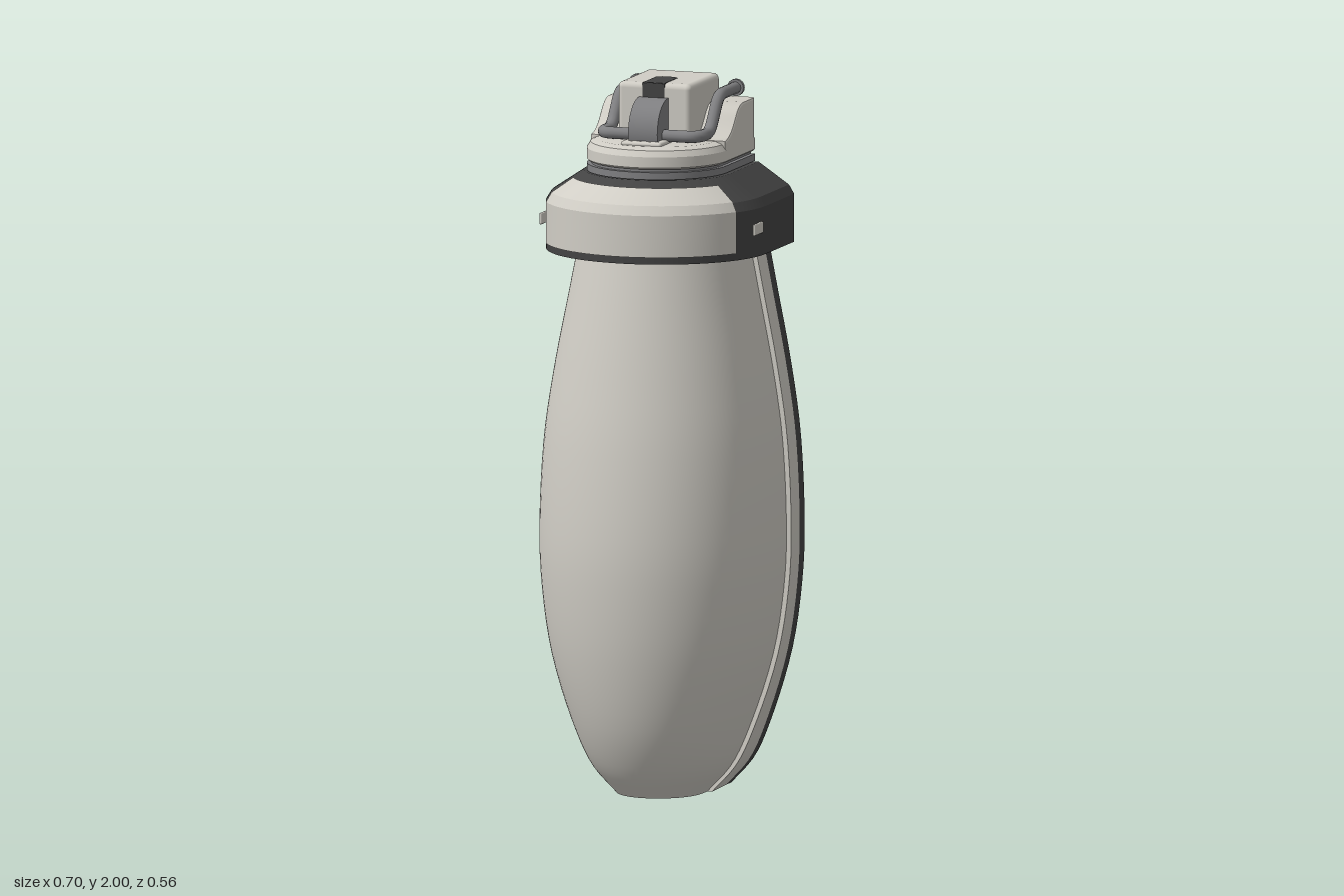
import * as THREE from 'three';
import { toCreasedNormals } from 'three/addons/utils/BufferGeometryUtils.js';
import { RoundedBoxGeometry } from 'three/addons/geometries/RoundedBoxGeometry.js';

const mat = (name, color, side = THREE.FrontSide) => {
  const m = new THREE.MeshStandardMaterial({ color, side });
  m.name = name;
  return m;
};

// Outline in the xz plane: straight sides from the back, then a half ellipse round the front
function uSection(w, zb, zc, zf, n) {
  const pts = [[w, zb]];
  for (let i = 0; i <= n; i++) {
    const a = Math.PI * i / n;
    pts.push([w * Math.cos(a), zc + (zf - zc) * Math.sin(a)]);
  }
  pts.push([-w, zb]);
  return pts;
}

// Skin a stack of outlines; closed ones get a back wall and end caps
function loft(rings, closed = true, crease = 0.6) {
  const pos = [], idx = [], n = rings[0].pts.length;
  for (const r of rings) for (const [x, z] of r.pts) pos.push(x, r.y, z);
  for (let i = 0; i < rings.length - 1; i++) {
    for (let j = 0; j < (closed ? n : n - 1); j++) {
      const a = i * n + j, b = i * n + (j + 1) % n;
      idx.push(a, a + n, b, b, a + n, b + n);
    }
  }
  if (closed) {
    [0, rings.length - 1].forEach((k) => {
      const r = rings[k], c = pos.length / 3;
      pos.push(0, r.y, r.pts.reduce((s, p) => s + p[1], 0) / n);
      for (let j = 0; j < n; j++) {
        const a = k * n + j, b = k * n + (j + 1) % n;
        idx.push(c, k ? b : a, k ? a : b);
      }
    });
  }
  const g = new THREE.BufferGeometry();
  g.setAttribute('position', new THREE.Float32BufferAttribute(pos, 3));
  g.setIndex(idx);
  return toCreasedNormals(g, crease);
}

export function createModel() {
  const group = new THREE.Group();
  const light = mat('warmGrey', 0xd0cdc5);
  const lightSheet = mat('warmGreySheet', 0xd0cdc5, THREE.DoubleSide);
  const dark = mat('charcoal', 0x434343);
  const darkSheet = mat('charcoalSheet', 0x434343, THREE.DoubleSide);
  const metal = mat('midGrey', 0x808082);
  const add = (name, geo, material, x = 0, y = 0, z = 0) => {
    const m = new THREE.Mesh(geo, material);
    m.name = name;
    m.position.set(x, y, z);
    group.add(m);
    return m;
  };

  // Body profile: half width, height, front depth
  const profile = new THREE.CatmullRomCurve3([
    [0.13, 0, 0.075], [0.2, 0.08, 0.14], [0.253, 0.2, 0.2], [0.313, 0.4, 0.252],
    [0.341, 0.6, 0.276], [0.346, 0.75, 0.279], [0.334, 1, 0.259], [0.305, 1.2, 0.228],
    [0.266, 1.4, 0.192], [0.24, 1.53, 0.168], [0.2, 1.7, 0.14],
  ].map((p) => new THREE.Vector3(...p))).getPoints(44);
  const seam = (y) => -0.1 - 0.05 * Math.sin(Math.min(1, y / 0.7) * Math.PI / 2);

  add('frontShell', loft(profile.map((p) => ({
    y: p.y, pts: uSection(p.x - 0.008, seam(p.y) - 0.01, -0.06, p.z, 40),
  }))), light);
  add('rearShell', loft(profile.map((p) => ({
    y: p.y,
    pts: [[p.x, -0.237], [p.x + 0.006, seam(p.y)], [-p.x - 0.006, seam(p.y)], [-p.x, -0.237]],
  }))), light);

  // Flat back plate with clipped upper corners
  const plate = profile.filter((p) => p.y < 1.67);
  add('backPlate', loft([...plate, { x: 0.2, y: 1.67 }, { x: 0.165, y: 1.71 }].map((p) => ({
    y: p.y, pts: uSection(p.x, -0.278, -0.235, -0.235, 1),
  }))), dark);

  // Collar: a bent shell, open at the back
  const collarPath = [[0.28, 1.53], [0.315, 1.53], [0.315, 1.665], [0.3, 1.69],
    [0.21, 1.75], [0.185, 1.75], [0.185, 1.72], [0.28, 1.655], [0.28, 1.53]];
  add('collar', loft(collarPath.map(([w, y]) => ({
    y, pts: uSection(w, -0.278, -0.04, w - 0.055, 28),
  })), false, 0.4), darkSheet);
  for (const s of [1, -1]) {
    const end = new THREE.ShapeGeometry(new THREE.Shape(
      collarPath.map(([w, y]) => new THREE.Vector2(s * w, y))));
    add('collarEnd', end, darkSheet, 0, 0, -0.278);
    add('sideButton', new RoundedBoxGeometry(0.008, 0.032, 0.07, 2, 0.003), light, s * 0.315, 1.61, 0.02);
  }

  // Pale facing on the front of the collar
  const facing = [[0.318, 1.55], [0.318, 1.667], [0.303, 1.693], [0.242, 1.734]].map(([w, y]) => {
    const pts = [];
    for (let i = 0; i <= 24; i++) {
      const a = THREE.MathUtils.degToRad(28 + 124 * i / 24);
      pts.push([w * Math.cos(a), -0.04 + (w - 0.012) * Math.sin(a)]);
    }
    return { y, pts };
  });
  add('collarFacing', loft(facing, false, 0.4), lightSheet);

  // Neck and cap base
  const capRing = ([w, y]) => ({ y, pts: uSection(w, -0.276, -0.04, w - 0.045, 28) });
  add('neck', loft([[0.188, 1.69], [0.188, 1.785]].map(capRing)), metal);
  add('neckRing', loft([[0.2, 1.752], [0.2, 1.772]].map(capRing)), metal);
  add('capBase', loft([[0.195, 1.78], [0.2, 1.785], [0.2, 1.815], [0.19, 1.832], [0.17, 1.84]].map(capRing), true, 0.4), light);

  // Raised rear of the cap, sloping down to the front
  const side = new THREE.Shape();
  side.moveTo(0.27, 1.79);
  side.lineTo(0.27, 1.925);
  side.lineTo(0.18, 1.925);
  side.bezierCurveTo(0.12, 1.92, 0.12, 1.85, 0.04, 1.837);
  side.lineTo(0.04, 1.79);
  const rear = new THREE.ExtrudeGeometry(side, {
    depth: 0.384, bevelSize: 0.006, bevelThickness: 0.008, bevelSegments: 2, curveSegments: 10,
  });
  rear.translate(0, 0, -0.192);
  rear.rotateY(Math.PI / 2);
  add('capRear', toCreasedNormals(rear, 0.5), light);
  add('capBackPlate', new THREE.BoxGeometry(0.385, 0.135, 0.004), metal, 0, 1.855, -0.277);

  // Top block with its dark slot
  add('topBlock', new RoundedBoxGeometry(0.216, 0.18, 0.248, 3, 0.016), light, 0, 1.91, -0.124);
  const slot = new THREE.Shape([[-0.032, 0], [0.032, 0], [0.032, 0.105], [0.018, 0.12],
    [-0.018, 0.12], [-0.032, 0.105]].map((p) => new THREE.Vector2(...p)));
  const slotGeo = new THREE.ExtrudeGeometry(slot, { depth: 0.004, bevelEnabled: false });
  slotGeo.rotateX(-Math.PI / 2);
  add('slotTop', slotGeo, dark, 0, 1.997, 0);
  add('slotFront', new THREE.BoxGeometry(0.064, 0.07, 0.006), dark, 0, 1.965, 0);

  // Hinge wheel on its seat
  add('hingeSeat', new RoundedBoxGeometry(0.12, 0.02, 0.11, 2, 0.008), light, 0, 1.84, 0.055);
  add('hingeWheel', new THREE.CylinderGeometry(0.09, 0.09, 0.086, 32).rotateZ(Math.PI / 2), metal, 0, 1.87, 0.002);

  // Wire bail: bent arms mirrored about the hinge
  for (const s of [1, -1]) {
    const path = new THREE.CurvePath();
    const v = (x, y, z) => new THREE.Vector3(s * x, y, z);
    path.add(new THREE.LineCurve3(v(0, 1.86, 0.036), v(0.105, 1.86, 0.036)));
    path.add(new THREE.QuadraticBezierCurve3(v(0.105, 1.86, 0.036), v(0.145, 1.86, 0.036), v(0.145, 1.86, -0.004)));
    path.add(new THREE.LineCurve3(v(0.145, 1.86, -0.004), v(0.145, 1.86, -0.03)));
    path.add(new THREE.QuadraticBezierCurve3(v(0.145, 1.86, -0.03), v(0.145, 1.862, -0.06), v(0.145, 1.89, -0.08)));
    path.add(new THREE.LineCurve3(v(0.145, 1.89, -0.08), v(0.145, 1.93, -0.11)));
    path.add(new THREE.QuadraticBezierCurve3(v(0.145, 1.93, -0.11), v(0.145, 1.956, -0.13), v(0.145, 1.956, -0.16)));
    path.add(new THREE.LineCurve3(v(0.145, 1.956, -0.16), v(0.145, 1.956, -0.27)));
    add('bailArm', new THREE.TubeGeometry(path, 60, 0.017, 12), metal);
    add('bailTip', new THREE.CylinderGeometry(0.024, 0.024, 0.012, 16).rotateX(Math.PI / 2), metal, s * 0.145, 1.956, -0.273);
  }
  return group;
}
